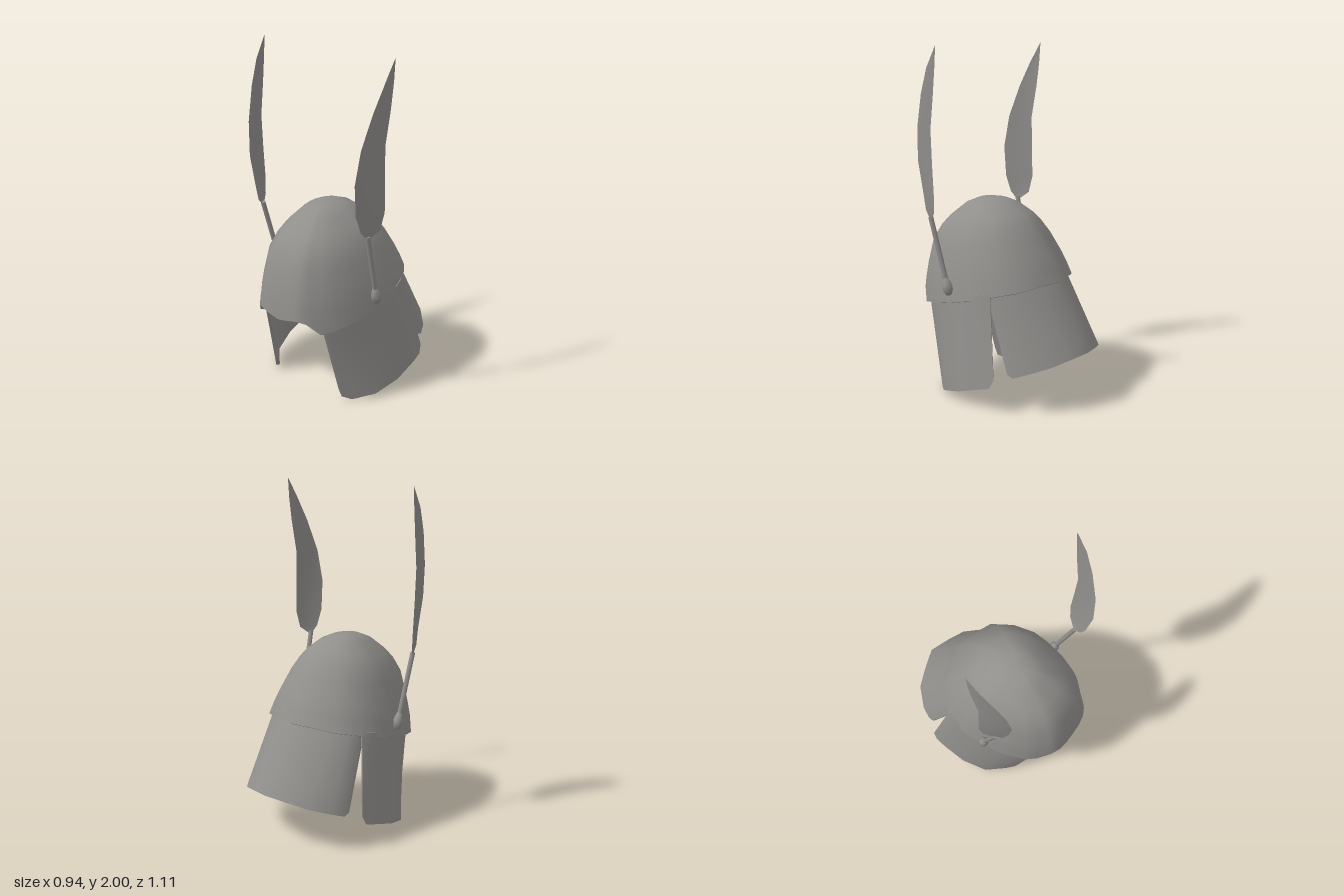
import * as THREE from 'three';
import { mergeGeometries, mergeVertices } from 'three/addons/utils/BufferGeometryUtils.js';

const steel = new THREE.MeshStandardMaterial({ color: 0x918f8c, side: THREE.DoubleSide });
steel.name = 'grey steel';

const mirrorX = ([x, y, z]) => [-x, y, z];
const lerp3 = (a, b, t) => a.map((v, k) => v + (b[k] - v) * t);

// Smooth surface through equal-length rows of points
function grid(rows) {
  const n = rows[0].length, index = [];
  for (let j = 0; j < rows.length - 1; j++) {
    for (let i = 0; i < n - 1; i++) {
      const a = j * n + i, b = a + n;
      index.push(a, a + 1, b, a + 1, b + 1, b);
    }
  }
  const geo = new THREE.BufferGeometry();
  geo.setAttribute('position', new THREE.Float32BufferAttribute(rows.flat(2), 3));
  geo.setIndex(index);
  const welded = mergeVertices(geo, 1e-5);
  welded.computeVertexNormals();
  return welded;
}

// Plate of the given thickness: outer face, inner face and edge strips
function plate(rows, thickness, closed = false, centreY = null) {
  const inset = ([x, y, z]) => {
    const p = new THREE.Vector3(x, y, z);
    const dir = p.clone().sub(new THREE.Vector3(0, centreY ?? y, 0.08)).normalize();
    return p.addScaledVector(dir, -thickness).toArray();
  };
  const inner = rows.map(r => r.map(inset));
  const strip = line => grid([line, line.map(inset)]);
  const parts = [grid(rows), grid(inner.map(r => [...r].reverse())), strip(rows[0])];
  if (!closed) {
    parts.push(strip(rows.at(-1)), strip(rows.map(r => r[0])), strip(rows.map(r => r.at(-1))));
  }
  return mergeGeometries(parts);
}

// Straight loft between a lower and an upper curve
const loft = (low, high, steps) => Array.from({ length: steps + 1 },
  (_, j) => low.map((p, i) => lerp3(p, high[i], j / steps)));

function part(name, geometry) {
  const mesh = new THREE.Mesh(geometry, steel);
  mesh.name = name;
  return mesh;
}

// Half of the dome's rim, from the brow to the nape
const rimHalf = [
  [0, 0.535, 0.55], [0.07, 0.55, 0.55], [0.13, 0.56, 0.54], [0.18, 0.55, 0.515],
  [0.235, 0.48, 0.455], [0.29, 0.5, 0.4], [0.345, 0.53, 0.28], [0.38, 0.565, 0.13],
  [0.387, 0.6, 0], [0.345, 0.637, -0.142], [0.26, 0.665, -0.26], [0.13, 0.68, -0.31],
  [0, 0.69, -0.356],
];

function dome() {
  const rim = [...rimHalf, ...rimHalf.slice(0, -1).reverse().map(mirrorX)];
  // Height, then radius at the front and at the back
  const profile = [
    [0.15, 0.985, 0.935], [0.3, 0.95, 0.86], [0.55, 0.87, 0.71], [0.7, 0.74, 0.6],
    [0.8, 0.61, 0.51], [0.93, 0.38, 0.33], [0.985, 0.2, 0.18], [1, 0, 0],
  ];
  const cz = 0.13, top = 1.125;
  const rows = [rim];
  for (const [h, front, back] of profile) {
    rows.push(rim.map(([x, , z]) => {
      const base = Math.max(0.52, 0.6 - 0.25 * z);
      const k = (1 - (z - cz) / Math.hypot(x, z - cz)) / 2;
      const f = front + (back - front) * k;
      return [x * f, base + h * (top - base), cz + (z - cz) * f];
    }));
  }
  return part('dome', plate(rows, 0.018, true, 0.45));
}

function cheekGuard(side) {
  const high = [
    [0.222, 0.52, 0.435], [0.24, 0.53, 0.42], [0.275, 0.54, 0.37], [0.335, 0.56, 0.24],
    [0.37, 0.6, 0.08], [0.37, 0.64, -0.05], [0.355, 0.65, -0.1], [0.34, 0.66, -0.13],
  ];
  const low = [
    [0.255, 0.08, 0.33], [0.265, 0.03, 0.315], [0.305, 0.005, 0.27], [0.4, 0.035, 0.17],
    [0.443, 0.08, 0.02], [0.445, 0.13, -0.13], [0.436, 0.15, -0.2], [0.427, 0.2, -0.225],
  ];
  const place = p => [p[0] * side, p[1], p[2]];
  return part(side > 0 ? 'leftCheekGuard' : 'rightCheekGuard',
    plate(loft(low.map(place), high.map(place), 4), 0.018));
}

function neckGuard() {
  const high = [
    [0, 0.72, -0.32], [0.12, 0.715, -0.28], [0.225, 0.7, -0.235],
    [0.295, 0.68, -0.175], [0.322, 0.66, -0.14], [0.335, 0.63, -0.11],
  ];
  const low = [
    [0, 0.315, -0.556], [0.13, 0.295, -0.515], [0.24, 0.275, -0.472],
    [0.335, 0.24, -0.375], [0.365, 0.215, -0.31], [0.37, 0.23, -0.275],
  ];
  const both = half => [...half.slice(1).reverse().map(mirrorX), ...half];
  return part('neckGuard', plate(loft(both(low), both(high), 4), 0.018));
}

function plume(side) {
  const group = new THREE.Group();
  group.name = side > 0 ? 'leftPlume' : 'rightPlume';
  const foot = new THREE.Vector3(0.376 * side, 0.65, 0.15);
  const head = new THREE.Vector3(0.395 * side, 1.05, 0.255);
  const dir = head.clone().sub(foot);
  const tilt = new THREE.Quaternion().setFromUnitVectors(
    new THREE.Vector3(0, 1, 0), dir.clone().normalize());

  // Stem
  const stem = part('plumeStem', new THREE.CylinderGeometry(0.014, 0.014, dir.length(), 8));
  stem.position.copy(foot).addScaledVector(dir, 0.5);
  stem.quaternion.copy(tilt);

  // Teardrop socket
  const drop = [[0, -0.045], [0.018, -0.04], [0.031, -0.012], [0.028, 0.015], [0.016, 0.055], [0, 0.06]];
  const socket = part('plumeSocket', new THREE.LatheGeometry(
    drop.map(([x, y]) => new THREE.Vector2(x, y)), 10));
  socket.position.copy(foot);
  socket.quaternion.copy(tilt);

  // Feather blade: height, front edge x and z, back edge x and z
  const sections = [
    [1.03, 0.395, 0.255, 0.395, 0.25], [1.08, 0.385, 0.3, 0.432, 0.195],
    [1.18, 0.374, 0.33, 0.447, 0.178], [1.36, 0.386, 0.354, 0.45, 0.185],
    [1.55, 0.408, 0.332, 0.452, 0.19], [1.74, 0.437, 0.271, 0.46, 0.16],
    [1.88, 0.457, 0.208, 0.463, 0.143], [2, 0.463, 0.135, 0.463, 0.134],
  ];
  const rows = sections.map(([y, fx, fz, bx, bz]) => [0, 0.25, 0.5, 0.75, 1].map(t => {
    const camber = 0.35 * (fz - bz) * t * (1 - t) * 0.4;
    return [side * (fx + (bx - fx) * t + camber), y, fz + (bz - fz) * t];
  }));
  group.add(stem, socket, part('feather', grid(rows)));
  return group;
}

export function createModel() {
  const model = new THREE.Group();
  model.name = 'plumedHelmet';
  const helmet = new THREE.Group();
  helmet.name = 'helmet';
  helmet.add(dome(), neckGuard());
  for (const side of [1, -1]) helmet.add(cheekGuard(side), plume(side));
  helmet.rotation.y = -0.12; // turned slightly to its right
  model.add(helmet);
  return model;
}
